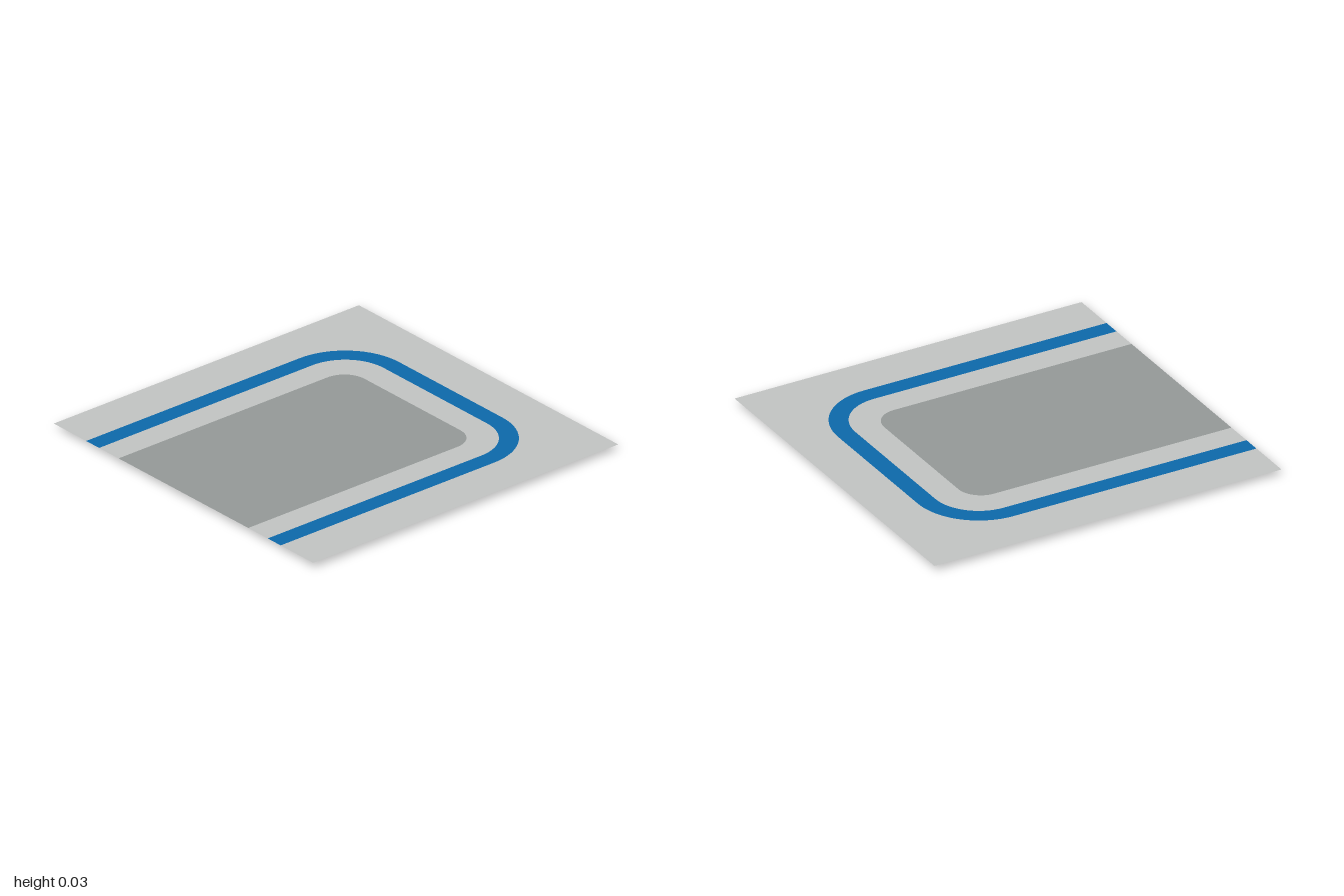
import * as THREE from 'three';

const SHEET_Y = 0.033;
const BASE_Y = 0.01;

// Points of a round-cornered arch, open towards the front (shape y = -z)
function arch(w, r) {
  if (r === 0) return [[w, -1], [w, w], [-w, w], [-w, -1]].map(([x, y]) => new THREE.Vector2(x, y));
  const pts = [new THREE.Vector2(w, -1)];
  const c = w - r;
  for (const [cx, start] of [[c, 0], [-c, Math.PI / 2]]) {
    for (let i = 0; i <= 16; i++) {
      const a = start + (i / 16) * Math.PI / 2;
      pts.push(new THREE.Vector2(cx + r * Math.cos(a), c + r * Math.sin(a)));
    }
  }
  pts.push(new THREE.Vector2(-w, -1));
  return pts;
}

// Rounded rectangle outline, counter-clockwise
function roundedRect(hw, hh, r) {
  const pts = [];
  [[1, 1], [-1, 1], [-1, -1], [1, -1]].forEach(([sx, sy], q) => {
    for (let i = 0; i <= 8; i++) {
      const a = (q + i / 8) * Math.PI / 2;
      pts.push(new THREE.Vector2(sx * (hw - r) + r * Math.cos(a), sy * (hh - r) + r * Math.sin(a)));
    }
  });
  return pts;
}

export function createModel() {
  const model = new THREE.Group();
  const material = (name, color, side = THREE.FrontSide) =>
    Object.assign(new THREE.MeshStandardMaterial({ color, side }), { name });
  const lightGrey = material('lightGrey', 0xc2c4c3, THREE.DoubleSide);
  const midGrey = material('midGrey', 0x959998, THREE.DoubleSide);
  const blue = material('blue', 0x0d69ab, THREE.DoubleSide);

  const add = (name, geometry, mat, parent = model) => {
    const mesh = new THREE.Mesh(geometry, mat);
    mesh.name = name;
    parent.add(mesh);
    return mesh;
  };

  // Thin sheet, divided into nested coloured regions
  const sheet = new THREE.Group();
  sheet.name = 'sheet';
  sheet.position.y = SHEET_Y;
  model.add(sheet);
  const square = arch(1, 0), outer = arch(0.75, 0.35), inner = arch(0.65, 0.25), centre = arch(0.5, 0.13);
  const region = (name, outline, hole, mat) => {
    const pts = hole ? [...outline, ...[...hole].reverse()] : outline;
    add(name, new THREE.ShapeGeometry(new THREE.Shape(pts)).rotateX(-Math.PI / 2), mat, sheet);
  };
  region('sheetMargin', square, outer, lightGrey);
  region('borderStripe', outer, inner, blue);
  region('innerMargin', inner, centre, lightGrey);
  region('centrePanel', centre, null, midGrey);

  // Base under the sheet: sloping rim and flat underside
  const base = new THREE.Group();
  base.name = 'base';
  base.position.z = 0.26;
  model.add(base);
  const top = roundedRect(0.42, 0.68, 0.09);
  const bottom = roundedRect(0.396, 0.656, 0.066);
  const n = top.length, positions = [], index = [];
  for (let i = 0; i <= n; i++) {
    const t = top[i % n], b = bottom[i % n];
    positions.push(t.x, SHEET_Y - 0.001, t.y, b.x, BASE_Y, b.y);
    if (i < n) index.push(2 * i, 2 * i + 2, 2 * i + 1, 2 * i + 1, 2 * i + 2, 2 * i + 3);
  }
  const rim = new THREE.BufferGeometry();
  rim.setAttribute('position', new THREE.Float32BufferAttribute(positions, 3));
  rim.setIndex(index);
  rim.computeVertexNormals();
  add('baseRim', rim, lightGrey, base);
  const underside = new THREE.ShapeGeometry(new THREE.Shape(bottom)).rotateX(Math.PI / 2);
  add('baseUnderside', underside.translate(0, BASE_Y, 0), lightGrey, base);

  // Four round feet
  for (const x of [-0.257, 0.257]) {
    for (const z of [-0.517, 0.517]) {
      const foot = add('foot', new THREE.CylinderGeometry(0.06, 0.06, BASE_Y, 24), blue, base);
      foot.position.set(x, BASE_Y / 2, z);
    }
  }
  return model;
}
